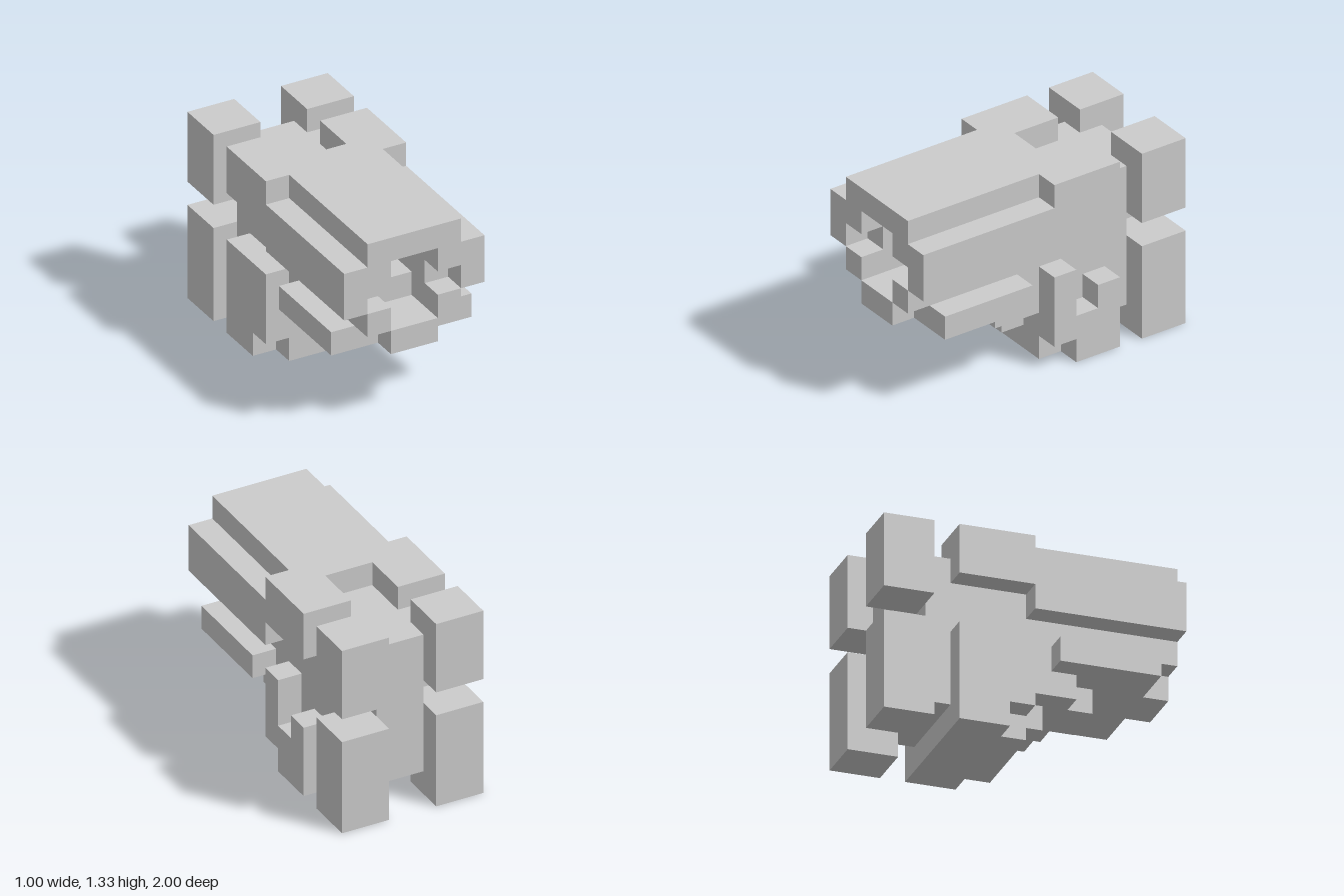
import * as THREE from 'three';

// Everything sits on a block grid: 6 wide, 8 high, 12 long
const U = 1 / 6;

export function createModel() {
  const model = new THREE.Group();
  const material = new THREE.MeshStandardMaterial({ color: 0xcccccc, flatShading: true });

  // Box between grid limits, in block units
  function block(name, x0, x1, y0, y1, z0, z1) {
    const geometry = new THREE.BoxGeometry((x1 - x0) * U, (y1 - y0) * U, (z1 - z0) * U);
    const mesh = new THREE.Mesh(geometry, material);
    mesh.position.set((x0 + x1) / 2 * U, (y0 + y1) / 2 * U, (z0 + z1) / 2 * U);
    mesh.name = name;
    model.add(mesh);
  }
  // Box centred on x = 0
  const middle = (name, half, ...rest) => block(name, -half, half, ...rest);
  // The same box on both sides
  function pair(name, x0, x1, ...rest) {
    block(name + 'Left', x0, x1, ...rest);
    block(name + 'Right', -x1, -x0, ...rest);
  }

  // Trunk
  middle('trunk', 2, 1, 6, -4, 0);
  middle('upperBack', 2, 6, 7, -4, -3);
  middle('spine', 1, 1, 7, -5, -4);
  middle('base', 2, 0, 1, -3, 0);

  // Crown with a notch at the back
  middle('crown', 3, 6, 7, -3, 0);
  middle('crownTop', 3, 7, 8, -1, 0);
  pair('crownHorn', 1, 3, 7, 8, -3, -1);

  // Upper jaw, arched over the mouth
  middle('snoutRoof', 2, 7, 8, 0, 6);
  pair('jawSide', 2, 3, 5, 7, 0, 6);
  pair('mouthShoulder', 1, 2, 6, 7, 0, 6);
  pair('mouthWall', 1, 2, 4, 6, 0, 5);
  pair('tooth', 1, 2, 4, 5, 5, 6);

  // Stepped inside of the mouth
  middle('tongue', 1, 4, 5, 0, 4);
  middle('throat', 1, 5, 6, 0, 2);
  middle('palate', 1, 6, 7, 0, 3);

  // Lower jaw
  middle('lowerJaw', 3, 3, 4, 1, 5);
  middle('lowerLip', 1, 3, 4, 5, 6);
  middle('jawRoot', 2, 3, 4, 0, 1);

  // Steps from the jaw down to the base
  middle('chin', 2, 2, 3, 0, 2);
  middle('chinTip', 1, 2, 3, 2, 3);
  middle('neckStep', 1, 1, 2, 0, 1);

  // Legs: the left one is notched, the right one plain
  pair('legFront', 2, 3, 1, 4, -1, 0);
  block('legMiddleLeft', 2, 3, 0, 2, -2, -1);
  block('legRearLeft', 2, 3, 0, 3, -3, -2);
  block('legRearRight', -3, -2, 0, 4, -3, -1);

  // Four posts at the back
  pair('lowerPost', 1, 3, 0, 4, -6, -4);
  pair('upperPost', 1, 3, 5, 8, -6, -4);

  return model;
}
